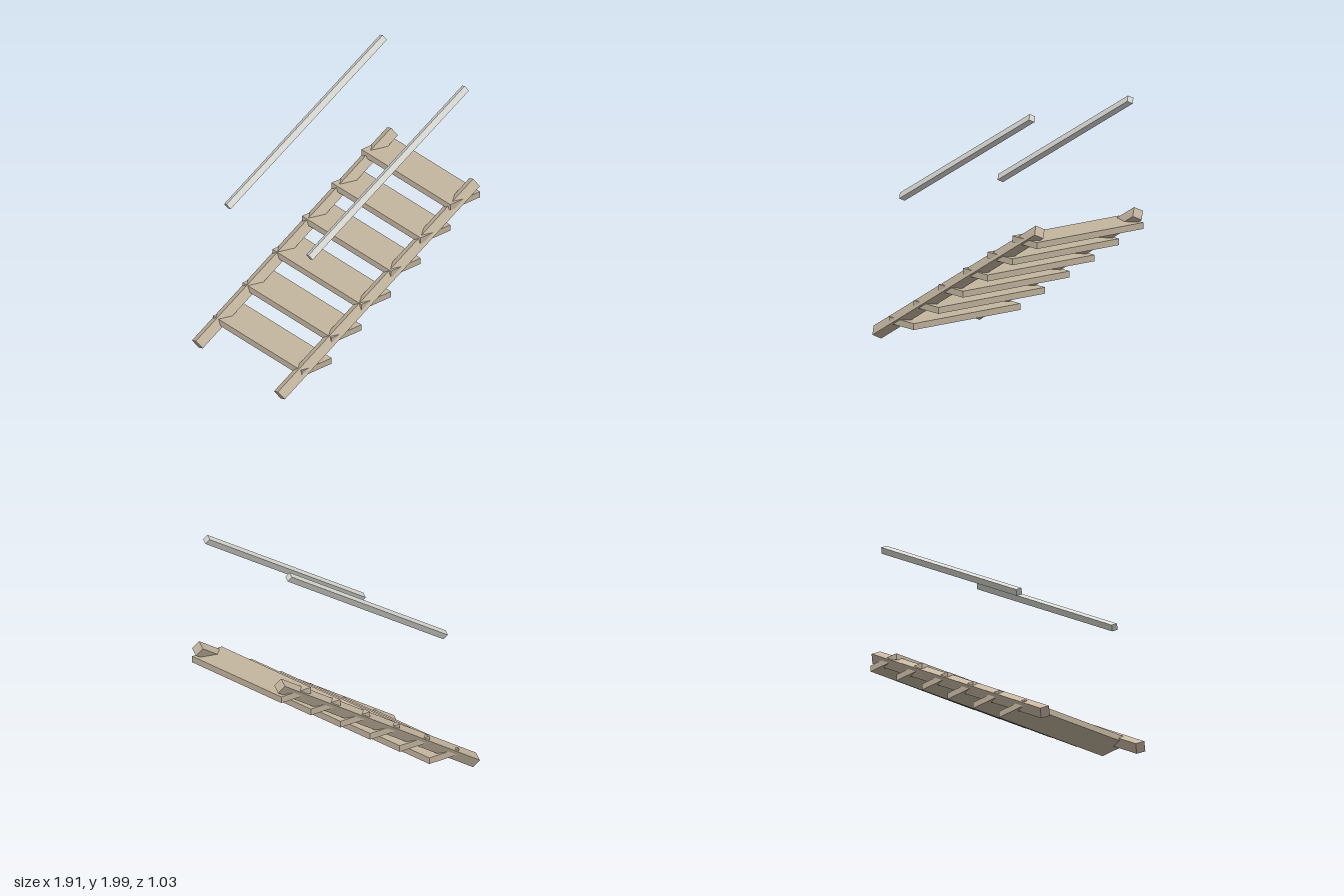
import * as THREE from 'three';

export function createModel() {
  const group = new THREE.Group();
  group.name = 'openStaircase';

  const wood = new THREE.MeshStandardMaterial({ color: 0xc4b6a0 });
  wood.name = 'pale wood';
  const metal = new THREE.MeshStandardMaterial({ color: 0xd9dad4 });
  metal.name = 'light grey metal';

  const rad = THREE.MathUtils.degToRad;

  // Square beam climbing toward +x, rolled about its own length
  function beam(name, material, length, size, slope, x, y, z) {
    const mesh = new THREE.Mesh(new THREE.BoxGeometry(length, size, size), material);
    mesh.name = name;
    mesh.rotation.set(rad(-30), 0, rad(slope), 'ZYX');
    mesh.position.set(x, y, z);
    group.add(mesh);
  }

  // Stringers and handrails, one pair on each side
  for (const [side, z] of [['front', 0.463], ['back', -0.463]]) {
    beam(side + 'Stringer', wood, 2.15, 0.077, 30.3, 0, 0.593, z);
    beam(side + 'Handrail', metal, 1.715, 0.048, 30, 0.1, 1.543, z);
  }

  // Treads
  const treadGeometry = new THREE.BoxGeometry(0.282, 0.048, 1.005);
  for (let i = 0; i < 6; i++) {
    const tread = new THREE.Mesh(treadGeometry, wood);
    tread.name = 'tread' + (i + 1);
    tread.position.set(-0.605 + i * 0.282, 0.18 + i * 0.1725, 0);
    group.add(tread);
  }

  return group;
}
